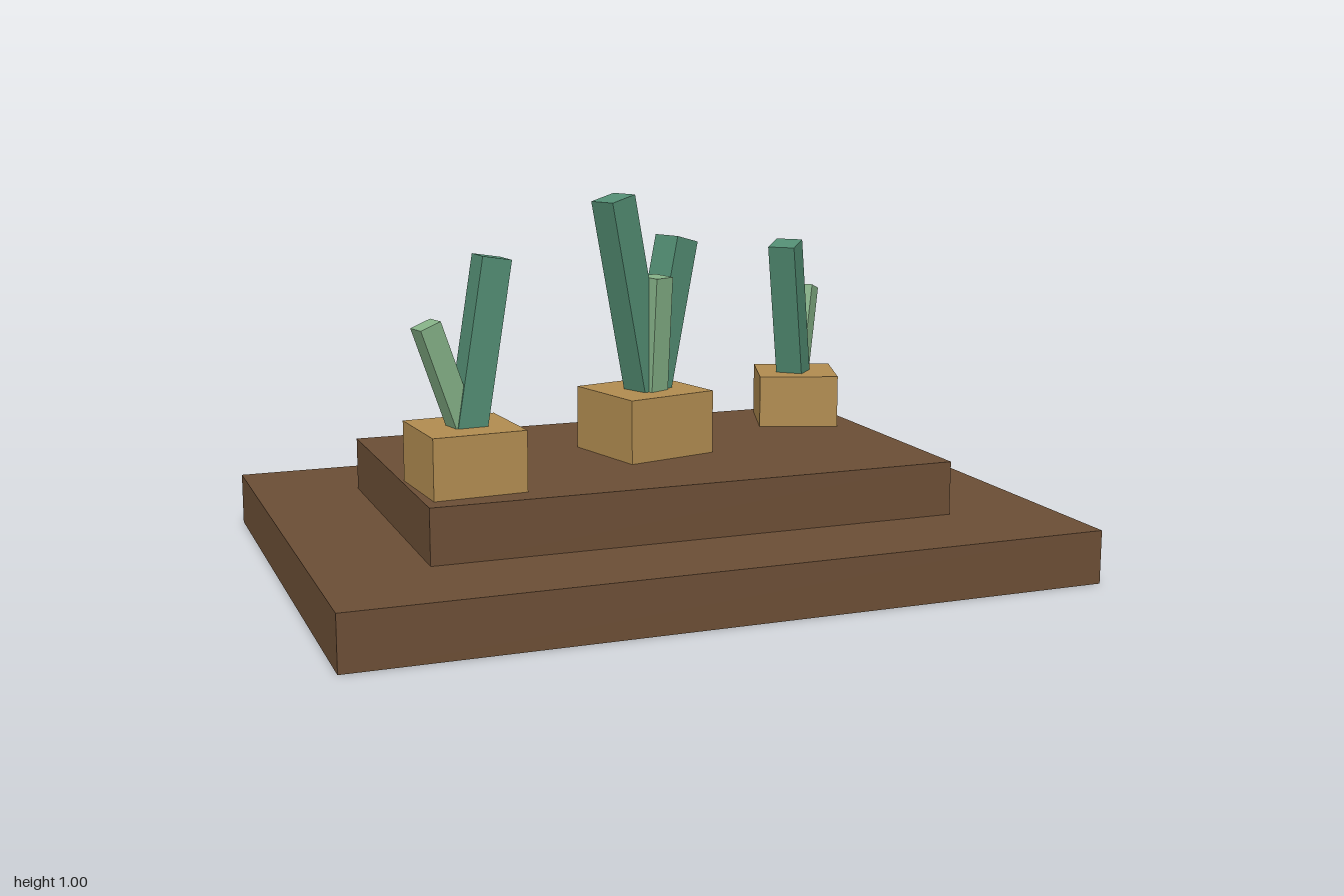
import * as THREE from 'three';

const mat = (name, color) => {
  const m = new THREE.MeshStandardMaterial({ color });
  m.name = name;
  return m;
};

export function createModel() {
  const soil = mat('brown', 0x6b4e35);
  const tan = mat('tan', 0xb18c50);
  const green = mat('green', 0x528c72);
  const pale = mat('paleGreen', 0x84b086);
  const model = new THREE.Group();
  model.name = 'planterDisplay';

  const box = (name, w, h, d, material, parent) => {
    const mesh = new THREE.Mesh(new THREE.BoxGeometry(w, h, d), material);
    mesh.name = name;
    parent.add(mesh);
    return mesh;
  };

  // Two stepped slabs
  box('baseSlab', 2, 0.143, 1.428, soil, model).position.y = 0.0715;
  box('upperSlab', 1.428, 0.146, 0.854, soil, model).position.y = 0.215;

  // Square stem leaning from root to tip, turned to face its lean
  const stem = (name, root, tip, side, material, parent) => {
    const a = new THREE.Vector3(...root);
    const b = new THREE.Vector3(...tip);
    const dir = b.clone().sub(a);
    const flat = Math.hypot(dir.x, dir.z);
    a.addScaledVector(dir.clone().normalize(), -0.05); // sink into the pot
    const mesh = box(name, side, a.distanceTo(b), side, material, parent);
    mesh.position.copy(a).add(b).multiplyScalar(0.5);
    mesh.rotation.set(0, Math.atan2(-dir.z, dir.x), -Math.atan2(flat, dir.y), 'YXZ');
  };

  // Each pot: centre, size, top height, turn, and its stems
  const pots = [
    { name: 'centrePlant', at: [0, -0.003], size: 0.267, top: 0.46, turn: 0.25, stems: [
      [[0.0, 0.46, 0.005], [-0.11, 0.988, 0.053], 0.083, green],
      [[0.018, 0.46, -0.008], [0.113, 0.865, -0.053], 0.083, green],
      [[0.01, 0.46, 0.022], [0.018, 0.772, 0.038], 0.064, pale]] },
    { name: 'rightPlant', at: [-0.575, 0.241], size: 0.245, top: 0.445, turn: 0.07, stems: [
      [[-0.565, 0.445, 0.24], [-0.495, 0.866, 0.234], 0.078, green],
      [[-0.582, 0.445, 0.245], [-0.675, 0.708, 0.266], 0.058, pale]] },
    { name: 'leftPlant', at: [0.57, -0.245], size: 0.227, top: 0.436, turn: -0.34, stems: [
      [[0.56, 0.436, -0.238], [0.498, 0.825, -0.172], 0.078, green],
      [[0.58, 0.436, -0.255], [0.632, 0.68, -0.307], 0.057, pale]] },
  ];
  for (const p of pots) {
    const group = new THREE.Group();
    group.name = p.name;
    model.add(group);
    const h = 0.216;
    const pot = box('pot', p.size, h, p.size, tan, group);
    pot.position.set(p.at[0], p.top - h / 2, p.at[1]);
    pot.rotation.y = p.turn;
    p.stems.forEach((s, i) => stem('stem' + (i + 1), ...s, group));
  }
  return model;
}
